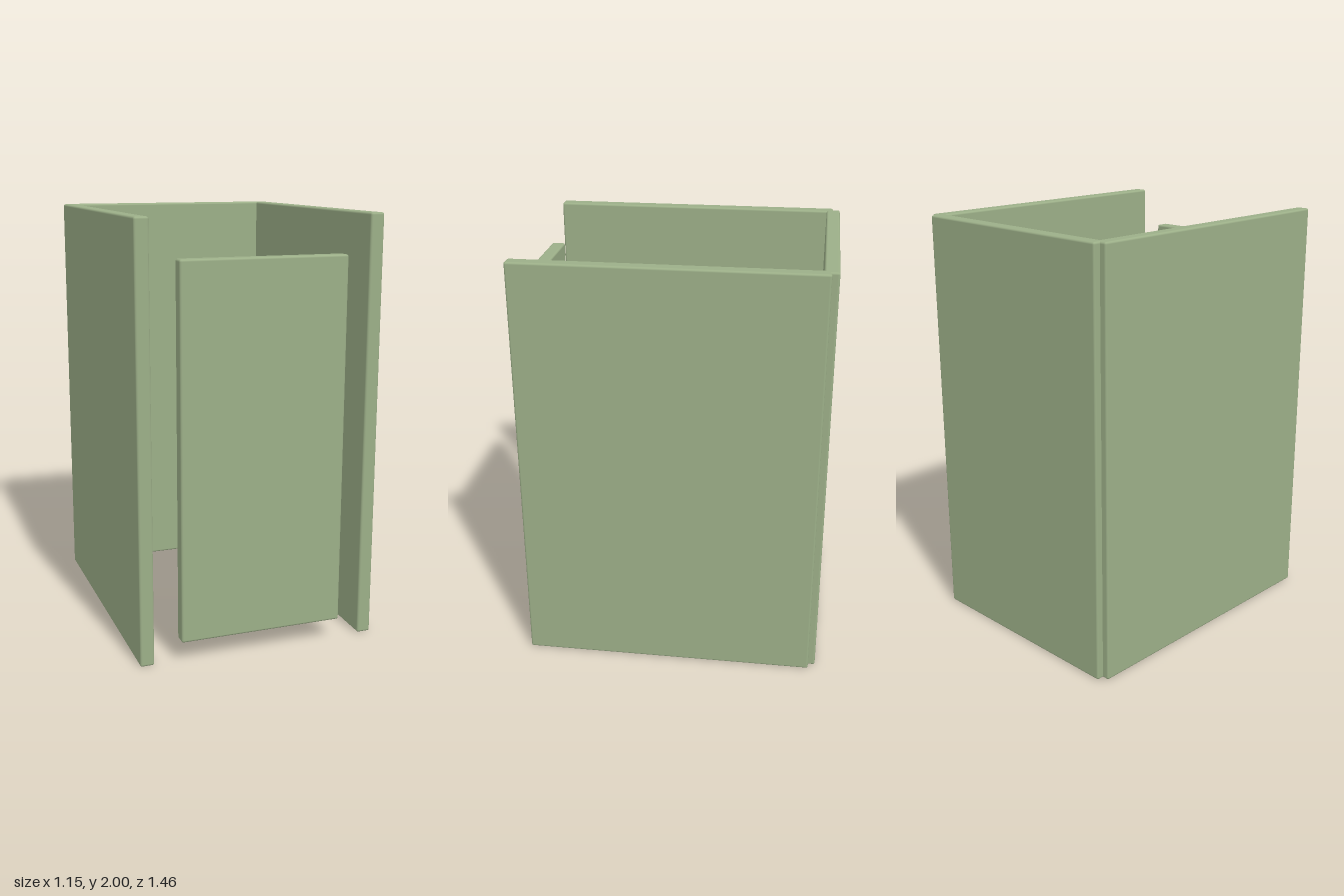
import * as THREE from 'three';
import { RoundedBoxGeometry } from 'three/addons/geometries/RoundedBoxGeometry.js';

const THICKNESS = 0.066;
const EDGE = 0.01;

export function createModel() {
  const group = new THREE.Group();
  const paint = new THREE.MeshStandardMaterial({ color: 0x9caf88 });

  // A board with softened edges, placed by its centre
  const addPanel = (name, [w, h, d], [x, y, z]) => {
    const panel = new THREE.Mesh(new RoundedBoxGeometry(w, h, d, 2, EDGE), paint);
    panel.name = name;
    panel.position.set(x, y, z);
    group.add(panel);
  };

  // Two full-height sides
  for (const [name, side] of [['leftSidePanel', 1], ['rightSidePanel', -1]]) {
    addPanel(name, [THICKNESS, 2, 1.39], [side * 0.543, 1, 0]);
  }

  // Back, overlapping the rear edges of the sides
  addPanel('backPanel', [1.086, 2, THICKNESS], [0, 1, -0.695]);

  // Narrower, shorter door standing free in the front opening
  addPanel('frontDoor', [0.78, 1.72, THICKNESS], [0, 0.963, 0.695]);

  return group;
}
